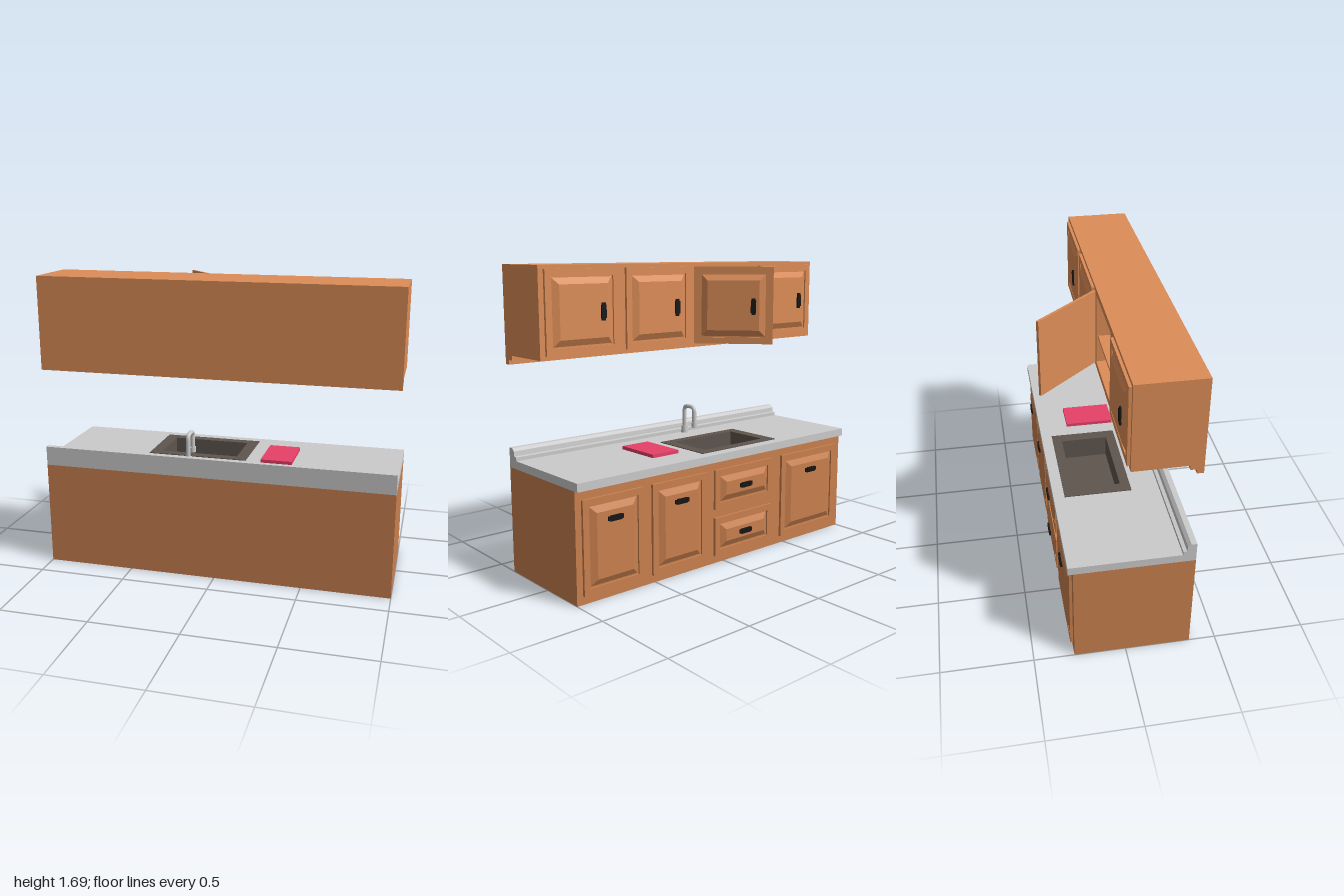
import * as THREE from 'three';

const paint = (color) => new THREE.MeshStandardMaterial({ color });
const upperWood = paint(0xdc8d57);
const lowerWood = paint(0xc9804e);
const grey = paint(0xcccccc);
const black = paint(0x161616);
const sinkMat = paint(0x5e554e);
const red = paint(0xe64167);

function add(parent, name, geometry, material, x = 0, y = 0, z = 0) {
  const mesh = new THREE.Mesh(geometry, material);
  mesh.name = name;
  mesh.position.set(x, y, z);
  parent.add(mesh);
  return mesh;
}

// Box given by its limits on each axis
function block(parent, name, mat, [x0, x1], [y0, y1], [z0, z1]) {
  return add(parent, name, new THREE.BoxGeometry(x1 - x0, y1 - y0, z1 - z0), mat,
    (x0 + x1) / 2, (y0 + y1) / 2, (z0 + z1) / 2);
}

function rect(Type, x0, x1, y0, y1) {
  return new Type([[x0, y0], [x1, y0], [x1, y1], [x0, y1]].map(([x, y]) => new THREE.Vector2(x, y)));
}

// Rectangle with a rectangular hole, extruded along z
function ring(outer, inner, depth) {
  const shape = rect(THREE.Shape, ...outer);
  shape.holes.push(rect(THREE.Path, ...inner));
  return new THREE.ExtrudeGeometry(shape, { depth, bevelEnabled: false });
}

// Same, lying flat and extruded upwards; limits are in x and z
function flatRing([x0, x1, z0, z1], [a0, a1, b0, b1], height) {
  return ring([x0, x1, -z1, -z0], [a0, a1, -b1, -b0], height).rotateX(-Math.PI / 2);
}

// Raised centre panel: a box whose front face is shrunk into a bevel
function raisedPanel(w, h, depth, inset) {
  const g = new THREE.BoxGeometry(w, h, depth).translate(0, 0, depth / 2);
  const p = g.attributes.position;
  for (let i = 0; i < p.count; i++) {
    if (p.getZ(i) < depth / 2) continue;
    p.setX(i, p.getX(i) - Math.sign(p.getX(i)) * inset);
    p.setY(i, p.getY(i) - Math.sign(p.getY(i)) * inset);
  }
  g.computeVertexNormals();
  return g;
}

function makeHandle() {
  const handle = new THREE.Group();
  handle.name = 'handle';
  add(handle, 'handleGrip', new THREE.BoxGeometry(0.07, 0.03, 0.009), black, 0, 0, 0.0085);
  for (const s of [-1, 1]) {
    add(handle, 'handleFoot', new THREE.BoxGeometry(0.014, 0.022, 0.012), black, s * 0.04, 0, 0.005);
  }
  return handle;
}

// Door or drawer front facing -z: slab, frame, bevelled panel and handle
function makeFront(name, w, h, mat, hx, hy, vertical) {
  const front = new THREE.Group();
  front.name = name;
  const m = 0.036;
  add(front, 'backing', new THREE.BoxGeometry(w, h, 0.006), mat, 0, 0, 0.003);
  const frame = ring([-w / 2, w / 2, -h / 2, h / 2], [m - w / 2, w / 2 - m, m - h / 2, h / 2 - m], 0.01);
  add(front, 'frame', frame, mat, 0, 0, 0.005);
  add(front, 'raisedPanel', raisedPanel(w - 2 * m - 0.014, h - 2 * m - 0.014, 0.018, 0.034), mat, 0, 0, 0.006);
  const handle = makeHandle();
  handle.position.set(hx, hy, 0.022);
  if (vertical) handle.rotation.z = Math.PI / 2;
  front.add(handle);
  front.rotation.y = Math.PI;
  return front;
}

function makeUpperCabinet() {
  const cabinet = new THREE.Group();
  cabinet.name = 'upperCabinet';

  // Case with one open compartment and a shelf
  const open = [-0.46, -0.04, 1.25, 1.655];
  add(cabinet, 'case', ring([-1, 1, 1.215, 1.69], open, 0.335), upperWood);
  block(cabinet, 'backPanel', upperWood, [-1, 1], [1.215, 1.69], [0.335, 0.355]);
  block(cabinet, 'shelf', upperWood, [-0.46, -0.04], [1.395, 1.41], [0.01, 0.335]);

  // Stepped moulding under the back edge
  block(cabinet, 'mouldingDeep', upperWood, [-1, 1], [1.165, 1.215], [0.32, 0.355]);
  block(cabinet, 'mouldingShallow', upperWood, [-1, 1], [1.19, 1.215], [0.287, 0.32]);

  // Three closed doors and one swung open
  const w = 0.45, midY = 1.4525;
  for (const right of [-0.53, -0.02, 0.47, 0.97]) {
    const hinge = new THREE.Group();
    hinge.name = 'doorHinge';
    hinge.position.set(right, midY, 0);
    const door = makeFront('upperDoor', w, 0.435, upperWood, 0.115, -0.005, true);
    door.position.x = -w / 2;
    hinge.add(door);
    if (right === -0.02) hinge.rotation.y = -0.85;
    cabinet.add(hinge);
  }
  return cabinet;
}

function makeLowerCabinet() {
  const cabinet = new THREE.Group();
  cabinet.name = 'lowerCabinet';
  const bowl = [-0.39, 0.07, -0.195, 0.08];
  const bowlFloor = 0.52;

  // Body, with room for the sink at the top
  block(cabinet, 'body', lowerWood, [-1, 1], [0, 0.5], [-0.28, 0.355]);
  add(cabinet, 'bodyTop', flatRing([-1, 1, -0.28, 0.355], bowl, 0.1), lowerWood, 0, 0.5, 0);

  // Fronts: centre x, centre y, width, height, handle height
  const fronts = [
    ['lowerDoor', 0.773, 0.2975, 0.38, 0.505, 0.132],
    ['lowerDoor', 0.333, 0.2975, 0.38, 0.505, 0.132],
    ['drawer', -0.15, 0.435, 0.455, 0.23, 0],
    ['drawer', -0.15, 0.1575, 0.455, 0.225, 0],
    ['lowerDoor', -0.705, 0.2975, 0.49, 0.505, 0.132],
  ];
  for (const [name, x, y, w, h, hy] of fronts) {
    const front = makeFront(name, w, h, lowerWood, 0, hy, false);
    front.position.set(x, y, -0.28);
    cabinet.add(front);
  }

  // Countertop and profiled backsplash
  add(cabinet, 'countertop', flatRing([-1, 1, -0.307, 0.355], bowl, 0.045), grey, 0, 0.6, 0);
  const profile = new THREE.Shape([
    [-0.355, 0.645], [-0.285, 0.645], [-0.285, 0.665], [-0.305, 0.668],
    [-0.308, 0.695], [-0.325, 0.71], [-0.355, 0.71],
  ].map(([x, y]) => new THREE.Vector2(x, y)));
  const splash = new THREE.ExtrudeGeometry(profile, { depth: 2, bevelEnabled: false });
  add(cabinet, 'backsplash', splash.rotateY(Math.PI / 2), grey, -1, 0, 0);

  // Sink rim, walls and floor
  const [x0, x1, z0, z1] = bowl, t = 0.004;
  add(cabinet, 'sinkRim', flatRing([-0.45, 0.13, -0.245, 0.13], [x0 + t, x1 - t, z0 + t, z1 - t], 0.004),
    sinkMat, 0, 0.645, 0);
  add(cabinet, 'sinkWalls', flatRing(bowl, [x0 + t, x1 - t, z0 + t, z1 - t], 0.645 - bowlFloor),
    sinkMat, 0, bowlFloor, 0);
  block(cabinet, 'sinkFloor', sinkMat, [x0, x1], [0.501, bowlFloor + 0.002], [z0, z1]);
  return cabinet;
}

function makeFaucet() {
  const faucet = new THREE.Group();
  faucet.name = 'faucet';
  faucet.position.set(-0.17, 0, 0);
  const v = (y, z) => new THREE.Vector3(0, y, z);
  const path = new THREE.CurvePath();
  path.add(new THREE.LineCurve3(v(0.66, 0.265), v(0.785, 0.265)));
  path.add(new THREE.QuadraticBezierCurve3(v(0.785, 0.265), v(0.815, 0.265), v(0.815, 0.235)));
  path.add(new THREE.LineCurve3(v(0.815, 0.235), v(0.815, 0.204)));
  path.add(new THREE.QuadraticBezierCurve3(v(0.815, 0.204), v(0.815, 0.174), v(0.785, 0.174)));
  path.add(new THREE.LineCurve3(v(0.785, 0.174), v(0.70, 0.174)));
  add(faucet, 'spout', new THREE.TubeGeometry(path, 64, 0.0125, 14), grey);
  add(faucet, 'faucetBase', new THREE.CylinderGeometry(0.02, 0.022, 0.045, 20), grey, 0, 0.6675, 0.265);
  add(faucet, 'nozzle', new THREE.CylinderGeometry(0.018, 0.018, 0.03, 20), grey, 0, 0.705, 0.174);
  return faucet;
}

export function createModel() {
  const model = new THREE.Group();
  model.name = 'kitchenUnit';
  model.add(makeUpperCabinet(), makeLowerCabinet(), makeFaucet());
  block(model, 'cuttingBoard', red, [0.22, 0.4], [0.645, 0.664], [-0.14, 0.14]);
  return model;
}
